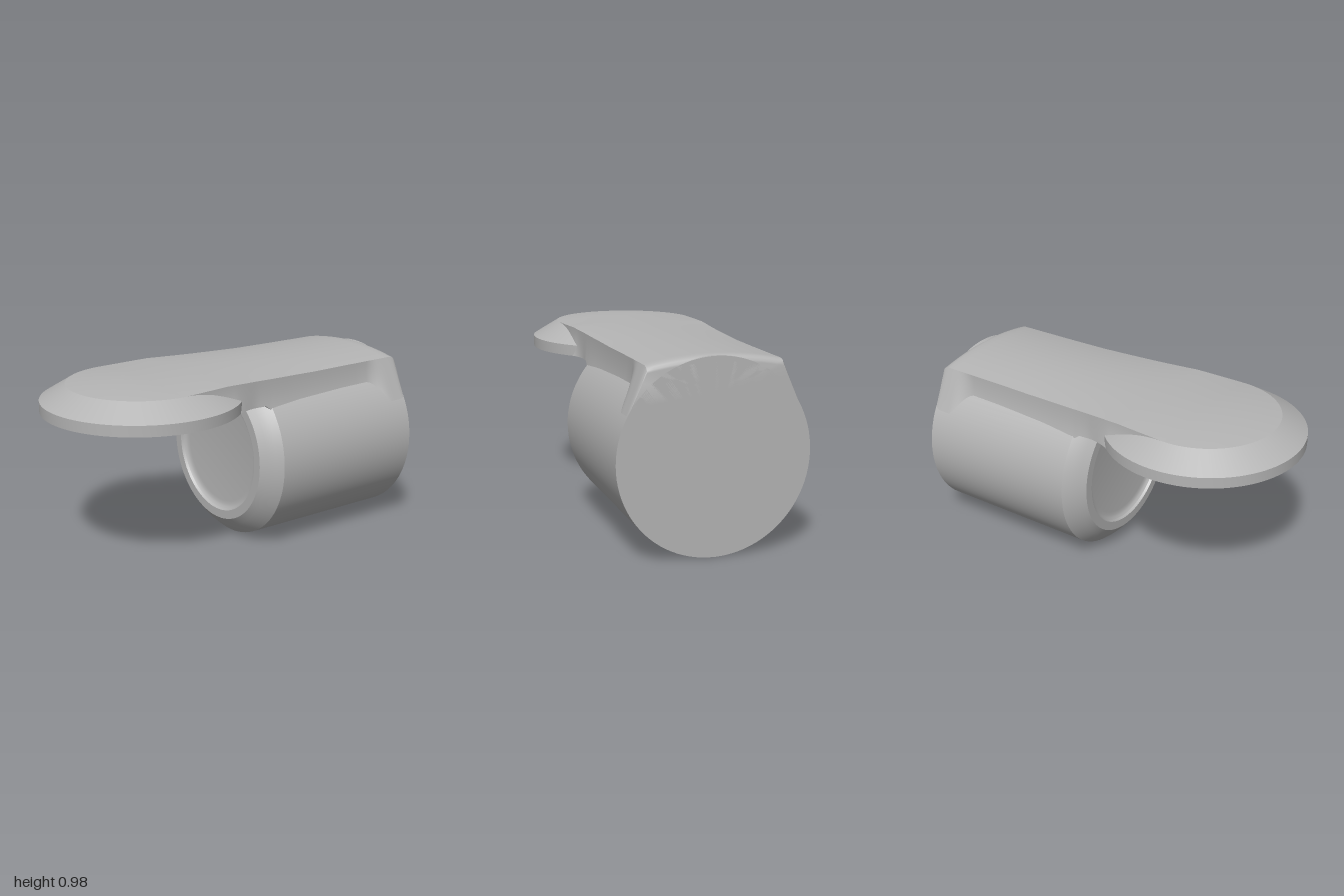
import * as THREE from 'three';
import { toCreasedNormals } from 'three/addons/utils/BufferGeometryUtils.js';

const { lerp, clamp, smoothstep } = THREE.MathUtils;

// Smooth interpolation through a short list of [position, value] pairs
function sample(table, z) {
  for (let i = 1; i < table.length; i++) {
    const [z0, v0] = table[i - 1], [z1, v1] = table[i];
    if (z <= z1) return lerp(v0, v1, clamp((z - z0) / (z1 - z0), 0, 1));
  }
  return table[table.length - 1][1];
}

const lathe = (points) => toCreasedNormals(
  new THREE.LatheGeometry(points.map(([r, y]) => new THREE.Vector2(r, y)), 96), 0.4);

const EDGE_X = [[-1, 0.336], [-0.6, 0.34], [-0.3, 0.348], [0, 0.362], [0.25, 0.38], [0.475, 0.39]];
const EDGE_Y = [[-0.4, 0.94], [-0.1, 0.947], [0.2, 0.957], [0.475, 0.95]];
const FLARE = [[-0.1, 0.018], [0.02, 0.004], [0.06, 0.007], [0.1, 0.016], [0.14, 0.03], [0.2, 0.03], [0.475, 0]];

// Cross-section of the strap at z, counter-clockwise as seen from the front
function strapSection(z) {
  const t = clamp((-z - 0.96) / 0.04, 0, 1);
  const drop = 0.032 * (1 - Math.sqrt(1 - t * t));      // rounded rear edge
  const back = 1 - smoothstep(z, -0.9, -0.78);          // wall leans out at the rear
  const ex = sample(EDGE_X, z), ey = sample(EDGE_Y, z) - drop;
  const wx = ex + sample(FLARE, z);
  const low = z < -0.06 ? 0.79 : 0.811;
  const bx = lerp(wx, 0.443, back), by = lerp(low, 0.68, back);
  const side = [[bx, by]];
  for (const k of [0.12, 0.3, 0.5, 0.8]) {
    const x = lerp(ex + (wx - ex) * (1 - k) ** 2, lerp(0.443, ex, k), back);
    side.push([x, lerp(by, ey, k)]);
  }
  const ring = [...side];
  const n = 20;
  for (let i = 0; i <= n; i++) {
    const u = 1 - (2 * i) / n;
    ring.push([ex * u, lerp(0.975 - drop, ey, u * u)]);
  }
  side.reverse().forEach(([x, y]) => ring.push([-x, y]));
  return ring;
}

function strapGeometry() {
  const stations = [-1, -0.998, -0.99, -0.98, -0.96];
  for (let z = -0.92; z < -0.77; z += 0.02) stations.push(z);
  for (let z = -0.7; z < -0.1; z += 0.1) stations.push(z);
  stations.push(-0.08, -0.05);
  for (let z = -0.02; z < 0.21; z += 0.02) stations.push(z);
  stations.push(0.25, 0.32, 0.4, 0.475);

  const pos = [], index = [];
  let m = 0;
  for (const z of stations) {
    const ring = strapSection(z);
    m = ring.length;
    for (const [x, y] of ring) pos.push(x, y, z);
  }
  for (let i = 0; i < stations.length - 1; i++) {
    for (let j = 0; j < m; j++) {
      const a = i * m + j, b = i * m + (j + 1) % m;
      index.push(a, b, b + m, a, b + m, a + m);
    }
  }
  // rear cap
  const centre = pos.length / 3;
  pos.push(0, 0.8, -1);
  for (let j = 0; j < m; j++) index.push(centre, (j + 1) % m, j);

  const g = new THREE.BufferGeometry();
  g.setAttribute('position', new THREE.Float32BufferAttribute(pos, 3));
  g.setIndex(index);
  return toCreasedNormals(g, 0.55);
}

export function createModel() {
  const group = new THREE.Group();
  const grey = new THREE.MeshStandardMaterial({ color: 0xb4b4b4 });
  grey.name = 'plain grey';
  const add = (name, geometry) => {
    const mesh = new THREE.Mesh(geometry, grey);
    mesh.name = name;
    group.add(mesh);
    return mesh;
  };

  // Barrel with bevelled rim and a shallow filleted recess in its front face
  const barrel = add('barrel', lathe([
    [0, -1], [0.486, -1], [0.486, -0.09], [0.456, -0.056], [0.424, -0.027], [0.39, 0],
    [0.342, 0], [0.336, -0.014], [0.326, -0.023], [0.312, -0.028], [0.295, -0.03], [0, -0.03],
  ]));
  barrel.rotation.x = Math.PI / 2;
  barrel.position.y = 0.486;

  // Round thumb pad with a sloping rim and a gently domed top
  const dome = [];
  for (let i = 0; i <= 8; i++) {
    const r = 0.39 * (1 - i / 8);
    dome.push([r, 0.975 - 0.025 * (r / 0.39) ** 2]);
  }
  const pad = add('thumbPad', lathe([[0, 0.81], [0.525, 0.81], [0.525, 0.868], ...dome]));
  pad.position.z = 0.475;

  // Crowned strap joining the pad to the barrel
  add('strap', strapGeometry());
  return group;
}
